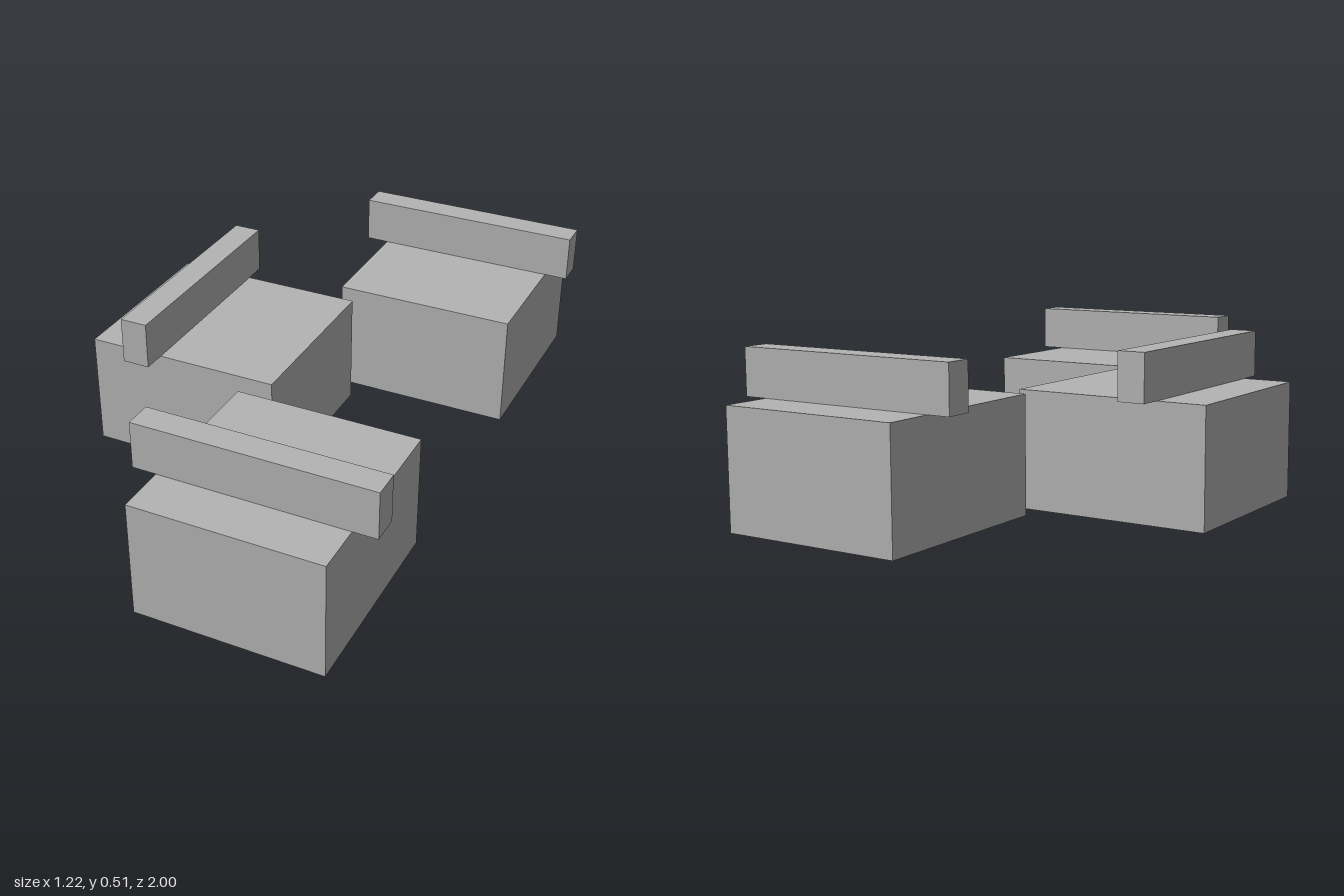
import * as THREE from 'three';

const SEAT = { width: 0.588, height: 0.368, depth: 0.63 };
const BACK = { width: 0.737, height: 0.147, depth: 0.087, offset: -0.115 };

export function createModel() {
  const model = new THREE.Group();
  model.name = 'seatingGroup';
  const grey = new THREE.MeshStandardMaterial({ color: 0xb4b4b4 });
  grey.name = 'plain grey';

  const seatGeometry = new THREE.BoxGeometry(SEAT.width, SEAT.height, SEAT.depth);
  const backGeometry = new THREE.BoxGeometry(BACK.width, BACK.height, BACK.depth);

  // One block seat with a low back rail, facing +z
  function addSeat(name, x, z, turn) {
    const chair = new THREE.Group();
    chair.name = name;

    const seat = new THREE.Mesh(seatGeometry, grey);
    seat.name = 'seat';
    seat.position.y = SEAT.height / 2;

    const back = new THREE.Mesh(backGeometry, grey);
    back.name = 'backRail';
    back.position.set(0, SEAT.height + BACK.height / 2, BACK.offset);

    chair.add(seat, back);
    chair.position.set(x, 0, z);
    chair.rotation.y = turn;
    model.add(chair);
  }

  // Three seats around an open centre, all facing inwards
  addSeat('frontSeat', 0.241, 0.685, Math.PI);
  addSeat('rearSeat', 0.241, -0.685, 0);
  addSeat('sideSeat', -0.295, 0, Math.PI / 2);

  return model;
}
